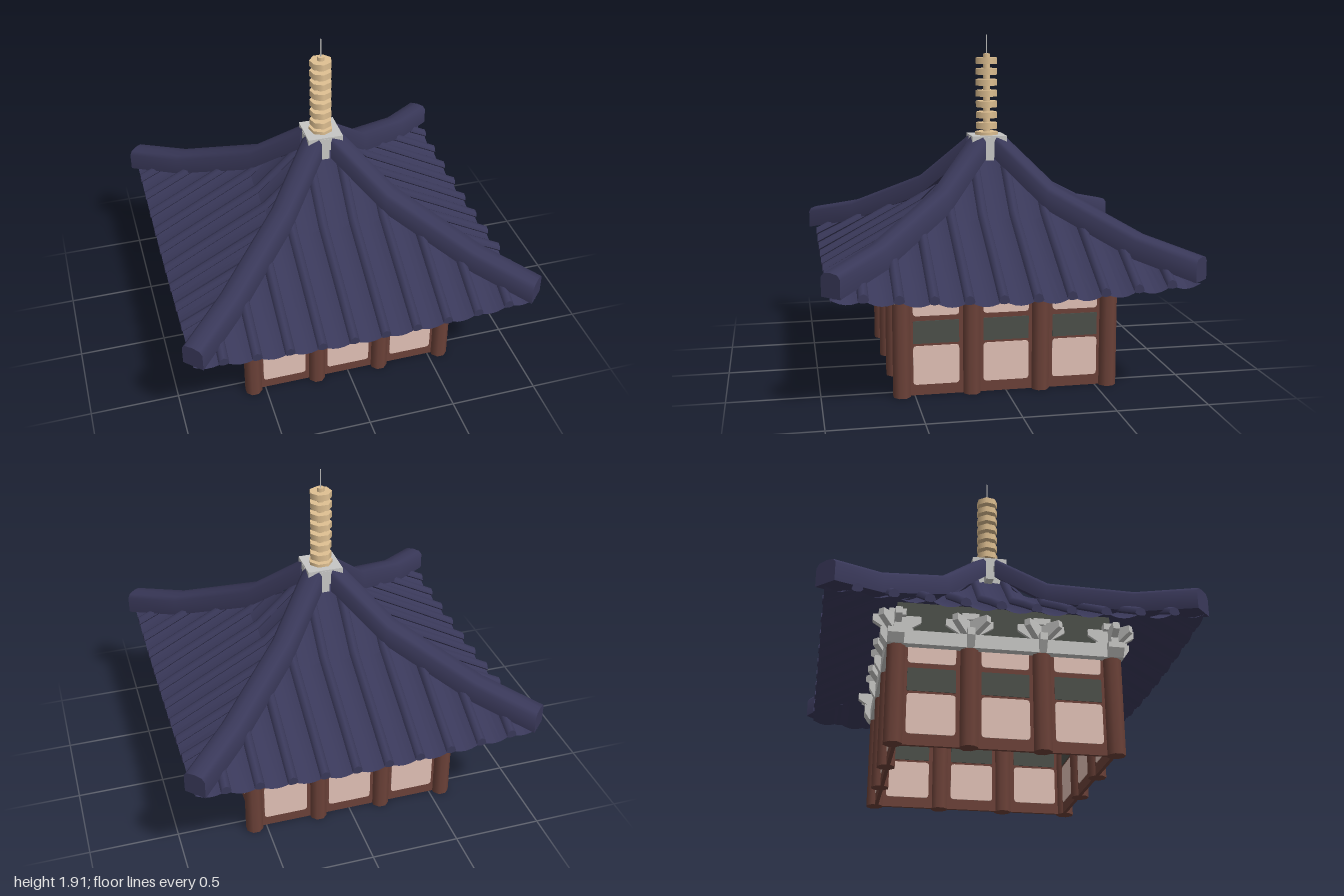
import * as THREE from 'three';
import { toCreasedNormals } from 'three/addons/utils/BufferGeometryUtils.js';

const mat = (name, color, side = THREE.FrontSide) => {
  const m = new THREE.MeshStandardMaterial({ color, side });
  m.name = name;
  return m;
};

// Sweep a closed counter-clockwise profile [x, y] along a path of [z, y], capped at both ends
function loft(profile, path) {
  const n = profile.length, pos = [], idx = [];
  for (const [z, y] of path) for (const [px, py] of profile) pos.push(px, y + py, z);
  for (let j = 0; j < path.length - 1; j++) {
    for (let i = 0; i < n; i++) {
      const a = j * n + i, b = j * n + (i + 1) % n;
      idx.push(a, b, b + n, a, b + n, a + n);
    }
  }
  const e = (path.length - 1) * n;
  for (let i = 1; i < n - 1; i++) idx.push(0, i + 1, i, e, e + i, e + i + 1);
  const g = new THREE.BufferGeometry();
  g.setAttribute('position', new THREE.Float32BufferAttribute(pos, 3));
  g.setIndex(idx);
  return toCreasedNormals(g, 0.9);
}

// Thin panel with rounded corners, centred on its own origin
function panelGeometry(w, h, depth, r) {
  const x = w / 2, y = h / 2, s = new THREE.Shape();
  s.moveTo(-x + r, -y).lineTo(x - r, -y).quadraticCurveTo(x, -y, x, -y + r)
    .lineTo(x, y - r).quadraticCurveTo(x, y, x - r, y)
    .lineTo(-x + r, y).quadraticCurveTo(-x, y, -x, y - r)
    .lineTo(-x, -y + r).quadraticCurveTo(-x, -y, -x + r, -y);
  return new THREE.ExtrudeGeometry(s, { depth, bevelEnabled: false, curveSegments: 4 }).translate(0, 0, -depth / 2);
}

// Extruded bar with a flared underside, running along x
function flaredBar(topHalf, bottomHalf, height, depth) {
  const s = new THREE.Shape([
    new THREE.Vector2(-bottomHalf, 0), new THREE.Vector2(bottomHalf, 0),
    new THREE.Vector2(topHalf, height * 0.6), new THREE.Vector2(topHalf, height),
    new THREE.Vector2(-topHalf, height), new THREE.Vector2(-topHalf, height * 0.6)]);
  return new THREE.ExtrudeGeometry(s, { depth, bevelEnabled: false }).translate(0, 0, -depth / 2);
}

// Roof height: three straight slopes, lifted toward the corners
const EAVE = 0.955, PITCH = 0.177;
const SLOPE = [[0, 1.27], [0.36, 0.93], [0.72, 0.735], [EAVE, 0.605]];
function roofHeight(x, r) {
  let k = 0;
  while (k < 2 && r > SLOPE[k + 1][0]) k++;
  const [r0, y0] = SLOPE[k], [r1, y1] = SLOPE[k + 1];
  return y0 + (y1 - y0) * (r - r0) / (r1 - r0) + 0.055 * (x / EAVE) ** 2 * (r / EAVE) ** 2;
}

// One roof side with concave tile channels between the ribs
function roofSide() {
  const pos = [], idx = [], half = 33, rows = SLOPE.length;
  for (let i = -half; i <= half; i++) {
    const x = Math.max(-EAVE, Math.min(EAVE, i * PITCH / 6));
    const u = 2 * (x / PITCH - Math.round(x / PITCH));
    for (const [row] of SLOPE) {
      const r = Math.max(Math.abs(x), row);
      pos.push(x, roofHeight(x, r) - 0.03 * (1 - u * u), r);
    }
  }
  for (let i = 0; i < 2 * half; i++) {
    for (let j = 0; j < rows - 1; j++) {
      const a = i * rows + j, b = a + rows;
      idx.push(a, a + 1, b + 1, a, b + 1, b);
    }
  }
  const g = new THREE.BufferGeometry();
  g.setAttribute('position', new THREE.Float32BufferAttribute(pos, 3));
  g.setIndex(idx);
  return toCreasedNormals(g, 0.2);
}

export function createModel() {
  const root = new THREE.Group();
  root.name = 'pavilion';
  const tile = mat('roofTile', 0x393859, THREE.DoubleSide);
  const red = mat('redWood', 0x6b4138);
  const pink = mat('plaster', 0xe0c0b5);
  const green = mat('greenPaint', 0x4c4f49);
  const grey = mat('paleStone', 0xc6c6c4);
  const gold = mat('brass', 0xdfc092);

  const add = (parent, name, geo, material, x = 0, y = 0, z = 0, ry = 0) => {
    const m = new THREE.Mesh(geo, material);
    m.name = name;
    m.position.set(x, y, z);
    m.rotation.y = ry;
    parent.add(m);
  };
  const box = (w, h, d) => new THREE.BoxGeometry(w, h, d);

  const columnGeo = new THREE.CylinderGeometry(0.05, 0.05, 0.6, 8).rotateY(Math.PI / 8);
  const lowerPanel = panelGeometry(0.25, 0.215, 0.028, 0.02);
  const bandPanel = panelGeometry(0.25, 0.125, 0.028, 0.004);
  const upperPanel = panelGeometry(0.25, 0.12, 0.028, 0.02);
  const armGeo = flaredBar(0.085, 0.05, 0.1, 0.04);
  const wingGeo = flaredBar(0.125, 0.04, 0.09, 0.035);
  const roofGeo = roofSide();

  // Rib section: rounded top, shallow underside
  const ribProfile = [];
  for (let i = 0; i < 8; i++) {
    const a = i * Math.PI / 4, s = Math.sin(a);
    ribProfile.push([0.028 * Math.cos(a), s > 0 ? 0.034 * s : 0.014 * s]);
  }
  const ridgeProfile = [[-0.063, -0.125], [0.063, -0.125], [0.063, -0.025],
    [0.045, -0.004], [0, 0.002], [-0.045, -0.004], [-0.063, -0.025]];
  const ridgePath = [[0.07, 1.338], [0.32, 1.075], [0.7, 0.865], [EAVE, 0.785]]
    .map(([r, y]) => [r * Math.SQRT2, y]);
  const ridgeGeo = loft(ridgeProfile, ridgePath);

  // Four equal sides
  for (let k = 0; k < 4; k++) {
    const side = new THREE.Group();
    side.name = 'side' + (k + 1);
    side.rotation.y = k * Math.PI / 2;
    root.add(side);

    // Wall with framed panels showing on both faces, green frieze up to the roof
    add(side, 'wallFrame', box(1.14, 0.56, 0.02), red, 0, 0.28, 0.56);
    add(side, 'frieze', box(1.14, 0.22, 0.02), green, 0, 0.67, 0.56);
    for (const x of [-0.383, 0, 0.383]) {
      add(side, 'lowerPanel', lowerPanel, pink, x, 0.167, 0.56);
      add(side, 'greenBand', bandPanel, green, x, 0.35, 0.56);
      add(side, 'upperPanel', upperPanel, pink, x, 0.5, 0.56);
    }
    // Columns with brackets; the corner at +x belongs to the next side
    for (const x of [-0.57, -0.19, 0.19]) {
      add(side, 'column', columnGeo, red, x, 0.3, 0.57);
      const bracket = new THREE.Group();
      bracket.name = 'bracket';
      bracket.position.set(x, 0, 0.57);
      side.add(bracket);
      const turn = x < -0.5 ? Math.PI / 4 : 0;
      add(bracket, 'arm', armGeo, grey, 0, 0.525, 0, Math.PI / 2);
      if (turn) add(bracket, 'crossArm', armGeo, grey, 0, 0.525, 0);
      for (const a of [0, Math.PI / 4, -Math.PI / 4]) {
        add(bracket, 'wing', wingGeo, grey, 0, 0.605, 0, a + turn);
      }
      add(bracket, 'block', box(0.09, 0.035, 0.09), grey, 0, 0.705, 0);
    }
    // Tie beam with tapered ends
    add(side, 'tieBeam', flaredBar(0.655, 0.625, 0.075, 0.085), grey, 0, 0.525, 0.578);

    // Roof slope, round tile ribs and hip ridge
    add(side, 'roofSlope', roofGeo, tile);
    for (let i = 0; i < 10; i++) {
      const x = (i - 4.5) * PITCH, start = Math.abs(x);
      const path = [start, 0.36, 0.72, 0.96].filter((z, n) => n === 0 || z > start + 0.01)
        .map(z => [z, roofHeight(x, z)]);
      add(side, 'tileRib', loft(ribProfile, path), tile, x);
    }
    add(side, 'hipRidge', ridgeGeo, tile, 0, 0, 0, Math.PI / 4);
  }

  // Stone cap on the peak with hanging tongues
  add(root, 'peakCap', box(0.2, 0.05, 0.2), grey, 0, 1.317, 0);
  add(root, 'capTongueFront', box(0.045, 0.13, 0.205), grey, 0, 1.268, 0);
  add(root, 'capTongueSide', box(0.205, 0.13, 0.045), grey, 0, 1.268, 0);

  // Ringed finial
  const disc = (r, h) => new THREE.CylinderGeometry(r, r, h, 7);
  add(root, 'finialBase', disc(0.068, 0.02), gold, 0, 1.35, 0);
  add(root, 'finialPole', disc(0.021, 0.46), gold, 0, 1.575, 0);
  for (let i = 0; i < 7; i++) add(root, 'finialRing', disc(0.063, 0.036), gold, 0, 1.394 + i * 0.0618, 0);
  add(root, 'finialNeedle', new THREE.CylinderGeometry(0.003, 0.004, 0.12, 6), grey, 0, 1.85, 0);
  return root;
}
